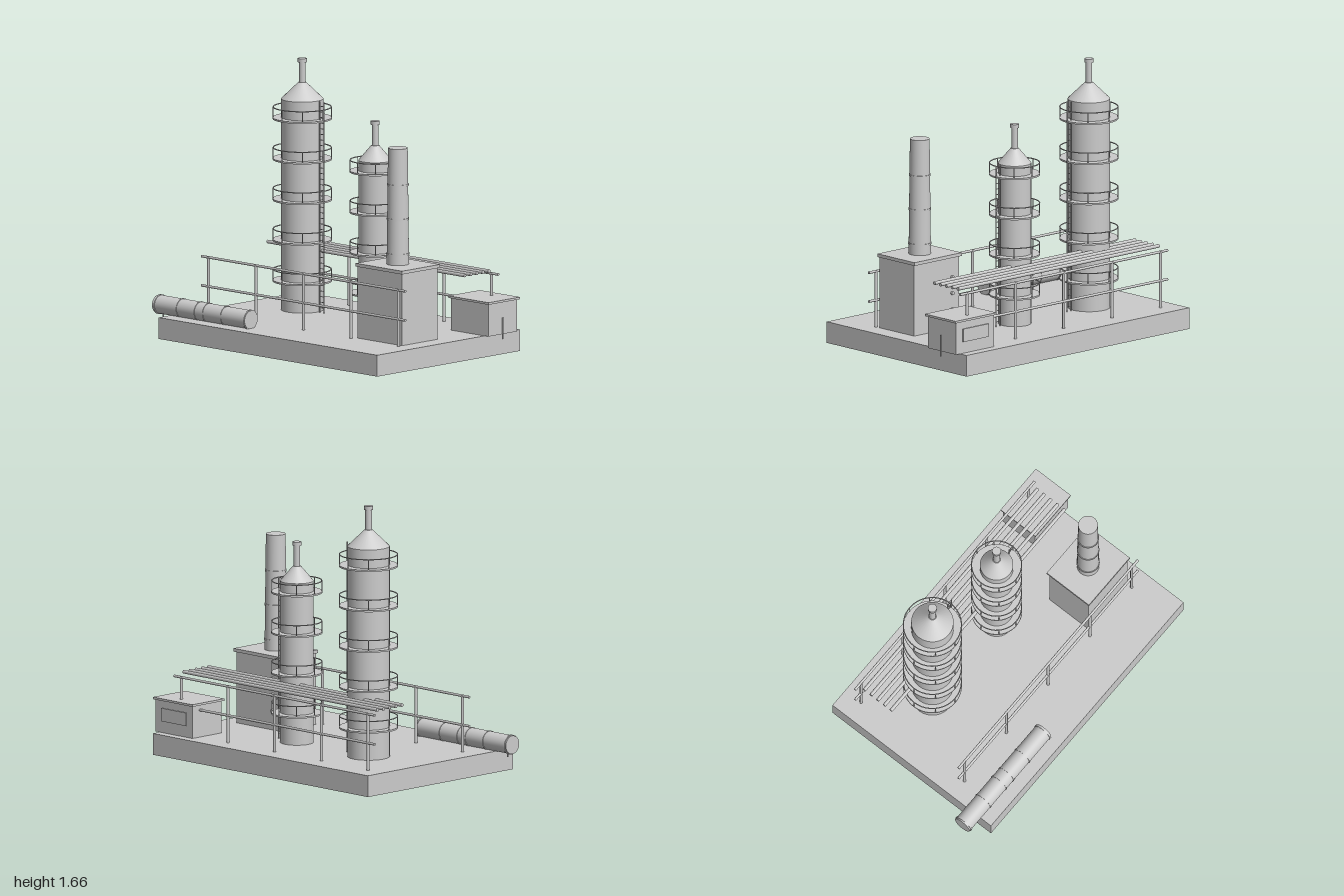
import * as THREE from 'three';

const material = new THREE.MeshStandardMaterial({ color: 0xcccccc });

function add(parent, name, geometry, x = 0, y = 0, z = 0) {
  const mesh = new THREE.Mesh(geometry, material);
  mesh.name = name;
  mesh.position.set(x, y, z);
  parent.add(mesh);
  return mesh;
}

function group(parent, name, x = 0, y = 0, z = 0) {
  const g = new THREE.Group();
  g.name = name;
  g.position.set(x, y, z);
  parent.add(g);
  return g;
}

// Box given by its lower and upper limits
function box(parent, name, x0, x1, y0, y1, z0, z1) {
  return add(parent, name, new THREE.BoxGeometry(x1 - x0, y1 - y0, z1 - z0),
    (x0 + x1) / 2, (y0 + y1) / 2, (z0 + z1) / 2);
}

// Upright cylinder or cone from y0 to y1
function upright(parent, name, rBottom, rTop, y0, y1, x = 0, z = 0, sides = 32) {
  return add(parent, name, new THREE.CylinderGeometry(rTop, rBottom, y1 - y0, sides), x, (y0 + y1) / 2, z);
}

// Cylinder lying along x from x0 to x1
function lying(parent, name, r, x0, x1, y, z, sides = 12) {
  const mesh = add(parent, name, new THREE.CylinderGeometry(r, r, x1 - x0, sides), (x0 + x1) / 2, y, z);
  mesh.rotation.z = Math.PI / 2;
  return mesh;
}

const GROUND = 0.13;

// Round deck with a hole for the column, eight posts and a top rail
function platform(parent, y, inner, outer) {
  const g = group(parent, 'platform', 0, y, 0);
  const shape = new THREE.Shape().absarc(0, 0, outer, 0, Math.PI * 2);
  shape.holes.push(new THREE.Path().absarc(0, 0, inner, 0, Math.PI * 2, true));
  const deck = new THREE.ExtrudeGeometry(shape, { depth: 0.01, bevelEnabled: false, curveSegments: 32 });
  add(g, 'deck', deck.rotateX(-Math.PI / 2), 0, -0.005, 0);
  const r = outer - 0.003;
  for (let i = 0; i < 8; i++) {
    const a = (i * Math.PI) / 4;
    upright(g, 'railPost', 0.003, 0.003, 0, 0.068, r * Math.cos(a), r * Math.sin(a), 6);
  }
  add(g, 'handRail', new THREE.TorusGeometry(r, 0.0035, 6, 40).rotateX(Math.PI / 2), 0, 0.068, 0);
}

function ladder(parent, x0, x1, y1) {
  const g = group(parent, 'ladder');
  for (const x of [x0, x1]) upright(g, 'ladderSide', 0.0035, 0.0035, GROUND, y1, x, 0, 6);
  for (let y = GROUND + 0.03; y < y1; y += 0.034) lying(g, 'rung', 0.0025, x0, x1, y, 0, 6);
}

// Column with conical head, vent, platforms and ladder
function column(parent, name, x, z, r, deckR, top, coneTop, ventTop, levels) {
  const g = group(parent, name, x, 0, z);
  upright(g, 'shell', r, r, GROUND, top);
  upright(g, 'coneHead', r, 0.024, top, coneTop);
  upright(g, 'vent', 0.02, 0.02, coneTop - 0.01, ventTop - 0.02, 0, 0, 16);
  upright(g, 'ventCap', 0.027, 0.027, ventTop - 0.023, ventTop, 0, 0, 16);
  for (let i = 0; i < levels; i++) platform(g, 0.308 + i * 0.2465, r - 0.002, deckR);
  ladder(g, r + 0.019, r + 0.054, top);
}

// Two-rail fence with five posts
function fence(parent, name, z) {
  const g = group(parent, name);
  for (const y of [0.295, 0.472]) lying(g, 'fenceRail', 0.008, -0.815, 0.89, y, z);
  for (let i = 0; i < 5; i++) upright(g, 'fencePost', 0.009, 0.009, GROUND, 0.478, -0.757 + i * 0.397, z, 12);
}

export function createModel() {
  const model = new THREE.Group();
  model.name = 'processPlant';

  box(model, 'foundation', -0.88, 0.95, 0, GROUND, -0.61, 0.61);

  column(model, 'tallColumn', -0.455, -0.185, 0.127, 0.177, 1.412, 1.512, 1.657, 5);
  column(model, 'shortColumn', 0.155, -0.185, 0.1, 0.153, 1.115, 1.205, 1.353, 4);

  // Furnace house with burner ports and chimney
  const furnace = group(model, 'furnace');
  box(furnace, 'furnaceHouse', 0.46, 0.83, GROUND, 0.565, -0.026, 0.276);
  box(furnace, 'furnaceRoof', 0.452, 0.84, 0.565, 0.585, -0.04, 0.285);
  for (const y of [0.246, 0.345, 0.443]) {
    const port = add(furnace, 'burnerPort', new THREE.CylinderGeometry(0.011, 0.011, 0.016, 16), 0.52, y, -0.03);
    port.rotation.x = Math.PI / 2;
  }
  upright(furnace, 'chimney', 0.067, 0.059, 0.585, 1.29, 0.645, 0.122);
  for (const y of [0.648, 0.86, 1.067]) {
    const r = 0.068 - 0.008 * (y - 0.585) / 0.705;
    upright(furnace, 'chimneyBand', r + 0.003, r + 0.003, y - 0.005, y + 0.005, 0.645, 0.122);
  }

  // Switch house overhanging the foundation
  const house = group(model, 'switchHouse');
  box(house, 'houseBody', 0.672, 0.983, GROUND, 0.326, -0.553, -0.307);
  box(house, 'houseRoof', 0.66, 0.996, 0.326, 0.339, -0.564, -0.295);
  box(house, 'backPanel', 0.72, 0.93, 0.2, 0.28, -0.56, -0.55);
  upright(house, 'conduit', 0.005, 0.005, 0.1, 0.23, 0.987, -0.425, 8);

  // Horizontal drum with end flanges and bands
  const drum = group(model, 'drum');
  lying(drum, 'drumShell', 0.056, -1, -0.225, 0.182, 0.487, 32);
  for (const x of [-0.985, -0.235]) lying(drum, 'endFlange', 0.06, x - 0.006, x + 0.006, 0.182, 0.487, 32);
  for (const x of [-0.8, -0.65, -0.58, -0.43]) lying(drum, 'drumBand', 0.059, x - 0.004, x + 0.004, 0.182, 0.487, 32);
  upright(drum, 'drain', 0.005, 0.005, 0.103, 0.14, -0.96, 0.487, 8);

  // Five parallel pipes
  const rack = group(model, 'pipeRun');
  for (let i = 0; i < 5; i++) lying(rack, 'pipe', 0.011, -0.79, 0.86, 0.495, -0.233 - i * 0.0515, 12);

  fence(model, 'frontFence', 0.307);
  fence(model, 'backFence', -0.488);

  return model;
}
